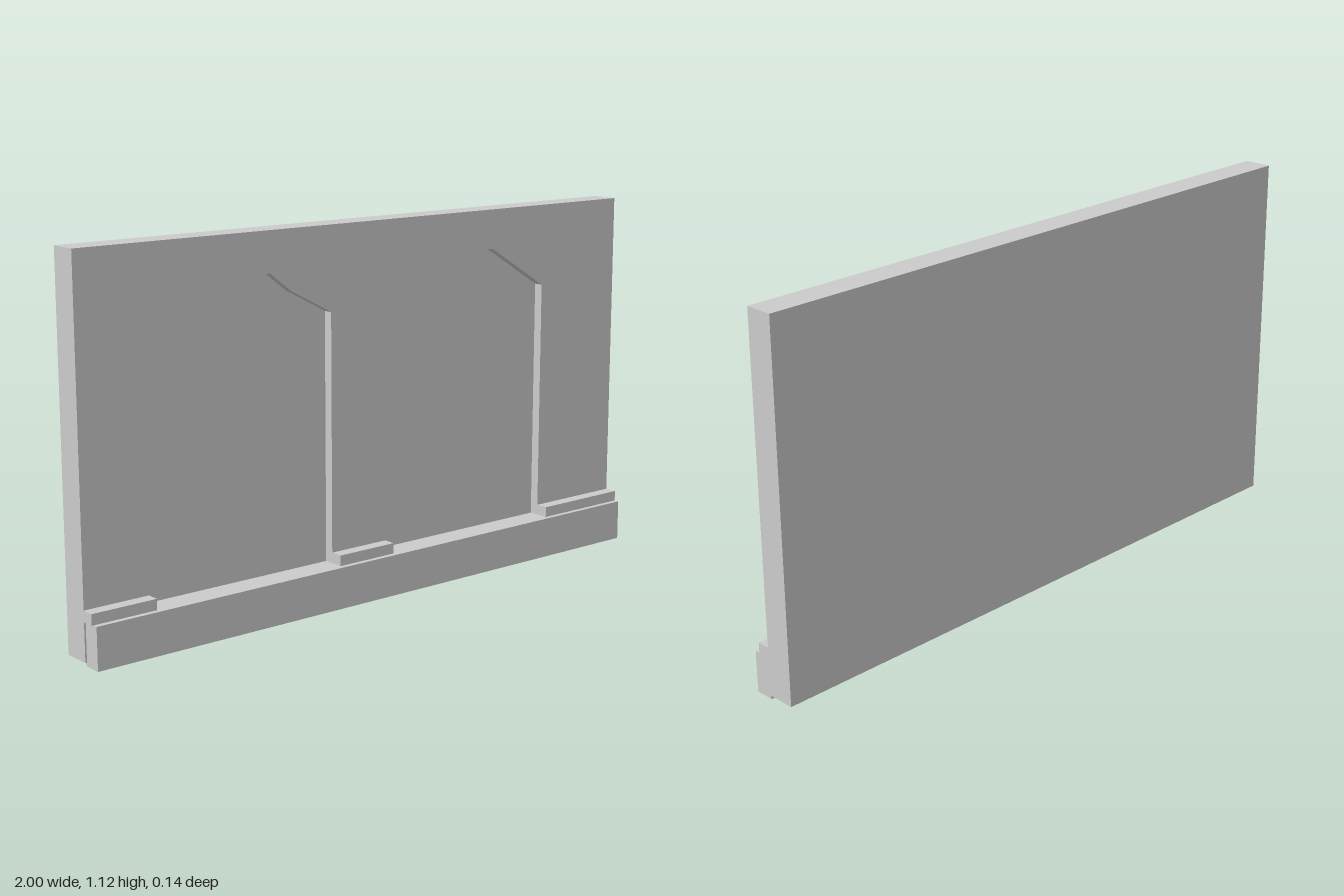
import * as THREE from 'three';

const BACK = -0.07, RECESS = -0.012, FACE = 0.017, LEDGE = 0.056, FRONT = 0.072;
const BASE = 0.01, SILL = 0.125, TOP = 1.12;

export function createModel() {
  const model = new THREE.Group();
  const material = new THREE.MeshStandardMaterial({ color: 0xcccccc, flatShading: true });

  const add = (name, geometry) => {
    const mesh = new THREE.Mesh(geometry, material);
    mesh.name = name;
    model.add(mesh);
  };
  // Box given by its lower and upper corners
  const block = (name, [x0, y0, z0], [x1, y1, z1]) => add(name,
    new THREE.BoxGeometry(x1 - x0, y1 - y0, z1 - z0)
      .translate((x0 + x1) / 2, (y0 + y1) / 2, (z0 + z1) / 2));
  const points = (list) => list.map(([x, y]) => new THREE.Vector2(x, y));

  // Solid rear of the wall, which is also the floor of the recesses
  block('wallBack', [-1, BASE, BACK], [1, TOP, RECESS]);

  // Front layer of the wall with two faceted arch openings
  const face = new THREE.Shape(points([[-1, BASE], [1, BASE], [1, TOP], [-1, TOP]]));
  const arches = [
    [[-0.795, SILL], [-0.795, 0.87], [-0.7, 0.93], [-0.58, 1], [-0.375, 1],
      [-0.3, 0.943], [-0.16, 0.87], [-0.16, SILL]],
    [[0.042, SILL], [0.042, 0.87], [0.14, 0.935], [0.257, 1], [0.467, 1],
      [0.68, 0.87], [0.68, SILL]],
  ];
  for (const arch of arches) face.holes.push(new THREE.Path(points(arch)));
  add('archedWallFace', new THREE.ExtrudeGeometry(face, { depth: FACE - RECESS, bevelEnabled: false })
    .translate(0, 0, RECESS));

  // Plinth along the foot of the wall
  block('plinth', [-0.995, 0, 0.014], [1, SILL, FRONT]);

  // Short ledges at the foot of each pier
  for (const [x0, x1] of [[-1, -0.795], [-0.16, 0.042], [0.68, 1]]) {
    block('pierLedge', [x0, SILL, FACE], [x1, 0.157, LEDGE]);
  }
  return model;
}
